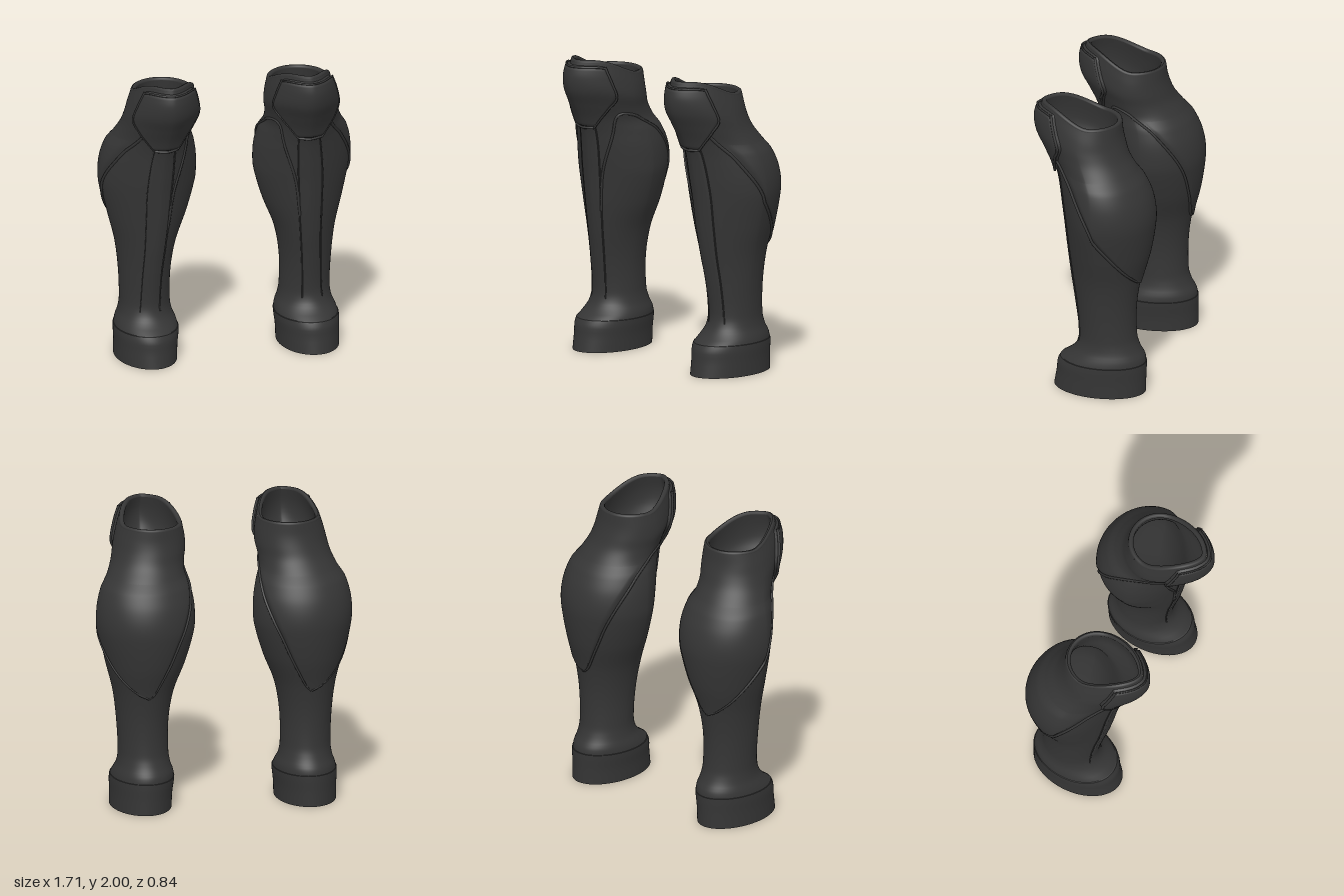
import * as THREE from 'three';
import { mergeVertices } from 'three/addons/utils/BufferGeometryUtils.js';

const RAD = Math.PI / 180;

// Leg sections: height, inner x, outer x, crest x, front z, back z, z of widest point, front sharpness
const SECTIONS = [
  [0.0, 0.355, 0.75, 0.55, 0.255, -0.36, -0.05, 1],
  [0.1, 0.35, 0.75, 0.55, 0.238, -0.36, -0.05, 1],
  [0.2, 0.338, 0.752, 0.55, 0.22, -0.362, -0.06, 1],
  [0.25, 0.345, 0.74, 0.55, 0.155, -0.355, -0.08, 1],
  [0.3, 0.365, 0.72, 0.55, 0.11, -0.325, -0.1, 1],
  [0.38, 0.378, 0.71, 0.545, 0.09, -0.3, -0.1, 1.05],
  [0.6, 0.375, 0.72, 0.535, 0.11, -0.298, -0.09, 1.1],
  [0.8, 0.34, 0.745, 0.52, 0.145, -0.325, -0.09, 1.15],
  [1.0, 0.262, 0.795, 0.51, 0.175, -0.375, -0.09, 1.25],
  [1.2, 0.205, 0.838, 0.505, 0.2, -0.403, -0.09, 1.3],
  [1.3, 0.198, 0.844, 0.5, 0.215, -0.4, -0.09, 1.3],
  [1.4, 0.204, 0.834, 0.495, 0.23, -0.376, -0.08, 1.3],
  [1.5, 0.225, 0.81, 0.49, 0.25, -0.332, -0.06, 1.3],
  [1.6, 0.252, 0.768, 0.485, 0.285, -0.278, -0.02, 1.3],
  [1.7, 0.25, 0.735, 0.48, 0.335, -0.225, 0.02, 1.25],
  [1.8, 0.235, 0.715, 0.475, 0.385, -0.195, 0.05, 1.2],
  [1.9, 0.24, 0.695, 0.475, 0.4, -0.175, 0.05, 1.2],
  [2.0, 0.255, 0.67, 0.47, 0.378, -0.167, 0.05, 1.2],
];

// Smooth interpolation of one table column by its first column
function sample(table, k, col) {
  const n = table.length;
  let i = 0;
  while (i < n - 2 && k > table[i + 1][0]) i++;
  const slope = (j) => {
    const a = table[Math.max(j - 1, 0)], b = table[Math.min(j + 1, n - 1)];
    return (b[col] - a[col]) / (b[0] - a[0]);
  };
  const h = table[i + 1][0] - table[i][0];
  const t = THREE.MathUtils.clamp((k - table[i][0]) / h, 0, 1);
  const t2 = t * t, t3 = t2 * t;
  return (2 * t3 - 3 * t2 + 1) * table[i][col] + (t3 - 2 * t2 + t) * h * slope(i)
    + (3 * t2 - 2 * t3) * table[i + 1][col] + (t3 - t2) * h * slope(i + 1);
}

// Section point: angle 0 is the front, positive angles run to the outer side
function sectionPoint(u, s) {
  const [xi, xo, xf, zf, zb, zw, p] = s;
  const sn = Math.sin(u), c = Math.cos(u), cx = (xi + xo) / 2, hw = (xo - xi) / 2;
  if (c <= 0) return [cx + hw * sn, zw + (zw - zb) * c];
  return [
    cx + (xf - cx) * c * c + hw * Math.sign(sn) * Math.abs(sn) ** p,
    zw + (zf - zw) * c ** p,
  ];
}

// Point on the leg surface, pushed outwards by off; the top slopes up to the front
function surf(u, Y, off = 0) {
  const s = [1, 2, 3, 4, 5, 6, 7].map((c) => sample(SECTIONS, Y, c));
  const [x, z] = sectionPoint(u, s);
  const a = sectionPoint(u - 0.06, s), b = sectionPoint(u + 0.06, s);
  const dx = b[0] - a[0], dz = b[1] - a[1], l = Math.hypot(dx, dz);
  const rim = 1.88 + 0.103 * THREE.MathUtils.smoothstep(z, -0.02, 0.32);
  const y = Y > 1.5 ? 1.5 + (Y - 1.5) * (rim - 1.5) / 0.5 : Y;
  return new THREE.Vector3(x - (dz / l) * off, y, z + (dx / l) * off);
}

// Grid surface from fn(a, b), with a and b from 0 to 1
function grid(fn, na, nb, flip = false) {
  const pos = [], idx = [];
  for (let j = 0; j <= nb; j++)
    for (let i = 0; i <= na; i++) pos.push(...fn(i / na, j / nb).toArray());
  for (let j = 0; j < nb; j++)
    for (let i = 0; i < na; i++) {
      const a = j * (na + 1) + i, b = a + 1, d = a + na + 1, c = d + 1;
      if (flip) idx.push(a, c, b, a, d, c);
      else idx.push(a, b, c, a, c, d);
    }
  const g = new THREE.BufferGeometry();
  g.setAttribute('position', new THREE.Float32BufferAttribute(pos, 3));
  g.setIndex(idx);
  const merged = mergeVertices(g, 1e-5);
  merged.computeVertexNormals();
  return merged;
}

// Bead along a path of [angle in degrees, height] points
function bead(path, radius, off) {
  const guide = new THREE.CatmullRomCurve3(path.map(([d, Y]) => new THREE.Vector3(d / 100, Y, 0)));
  const pts = guide.getPoints(50).map((q) => surf(q.x * 100 * RAD, q.y, off));
  return new THREE.TubeGeometry(new THREE.CatmullRomCurve3(pts), 110, radius, 6);
}

// Mirrored copy for the other leg
function mirror(geometry) {
  const g = geometry.clone().scale(-1, 1, 1), ix = g.index.array;
  for (let i = 0; i < ix.length; i += 3) [ix[i], ix[i + 1]] = [ix[i + 1], ix[i]];
  g.computeVertexNormals();
  return g;
}

export function createModel() {
  const charcoal = new THREE.MeshStandardMaterial({ color: 0x353535 });
  charcoal.name = 'charcoal';
  const model = new THREE.Group();
  model.name = 'shinGuards';
  const left = new THREE.Group(), right = new THREE.Group();
  left.name = 'leftShinGuard';
  right.name = 'rightShinGuard';
  model.add(left, right);
  const add = (name, geometry) => {
    for (const [group, g] of [[left, geometry], [right, mirror(geometry)]]) {
      const mesh = new THREE.Mesh(g, charcoal);
      mesh.name = name;
      group.add(mesh);
    }
  };
  const around = (a) => (a * 2 - 1) * Math.PI;

  // Hollow shell: ankle band, leg, lining and both rims
  add('ankleBand', grid((a, b) => surf(around(a), b * 0.21, 0.004), 72, 8));
  add('ankleBandLip', grid((a, b) => surf(around(a), 0.21 + b * 0.004, 0.004 - b * 0.012), 72, 1));
  add('legShell', grid((a, b) => surf(around(a), 0.2 + b * 1.8), 96, 90));
  add('lining', grid((a, b) => surf(around(a), b * 2, -0.034), 72, 60, true));
  add('bottomRim', grid((a, b) => surf(around(a), 0, 0.004 - b * 0.038), 72, 1, true));
  const rimPts = Array.from({ length: 72 }, (_, i) => surf((i / 72) * 2 * Math.PI, 2, -0.017));
  add('topRim', new THREE.TubeGeometry(new THREE.CatmullRomCurve3(rimPts, true), 144, 0.017, 10, true));

  // Calf panel, bounded by an outer and an inner seam (height, angle)
  const outerSeam = [[0.79, 180], [0.83, 158], [0.92, 131], [1.08, 103], [1.35, 67], [1.5, 52], [1.68, 36]];
  const innerSeam = [[0.79, 180], [0.83, 190], [1.0, 205], [1.2, 218], [1.4, 238], [1.55, 260], [1.68, 285]];
  add('calfPanel', grid((a, b) => {
    const Y = 0.79 + b * 0.89;
    const u = THREE.MathUtils.lerp(sample(outerSeam, Y, 1), sample(innerSeam, Y, 1), a);
    const edge = Math.min(1, Math.min(a, 1 - a) * 20);
    const fade = THREE.MathUtils.smoothstep(1.68 - Y, 0, 0.3);
    return surf(u * RAD, Y, -0.004 + 0.016 * edge * fade);
  }, 60, 50));
  const flipPair = ([Y, d]) => [d, Y];
  add('calfSeamOuter', bead(outerSeam.map(flipPair), 0.01, 0.004));
  add('calfSeamInner', bead([...innerSeam.slice(0, 6).map(flipPair),
    [282, 1.64], [305, 1.63], [323, 1.45], [337, 1.22], [341, 0.95]], 0.009, 0.002));

  // Raised shin ridge with an edge line on each side
  const ridge = [[0.32, -22, 27], [0.6, -22, 26], [1.1, -19, 23], [1.54, -20, 20]];
  add('shinRidge', grid((a, b) => {
    const Y = 0.32 + b * 1.22;
    const u = THREE.MathUtils.lerp(sample(ridge, Y, 1), sample(ridge, Y, 2), a);
    const edge = Math.min(1, Math.min(a, 1 - a) * 12, b * 4);
    return surf(u * RAD, Y, -0.003 + 0.012 * edge);
  }, 24, 40));
  for (const col of [1, 2])
    add('shinLine', bead(ridge.map((r) => [r[col], r[0] + 0.02]), 0.005, 0.001));

  // Kneecap plate standing proud of the shell (height, angle of its edges)
  const kneeEdge = [[1.53, 20], [1.6, 33], [1.68, 48], [1.78, 63], [1.88, 59], [1.985, 51]];
  add('kneecapPlate', grid((a, b) => {
    const Y = 1.53 + b * 0.455;
    const edge = Math.min(1, Math.min(a, 1 - a) * 32, b * 32, (1 - b) * 20);
    return surf((a * 2 - 1) * sample(kneeEdge, Y, 1) * RAD, Y, -0.004 + 0.032 * edge);
  }, 48, 40));
  for (const s of [-1, 1])
    add('kneecapBorder', bead(kneeEdge.map(([Y, d]) => [s * d * 0.95, Y]), 0.009, 0.022));
  add('kneecapLowerBorder', bead([[-19, 1.532], [0, 1.528], [19, 1.532]], 0.009, 0.022));
  add('kneecapUpperBorder', bead([[-48, 1.975], [0, 1.975], [48, 1.975]], 0.007, 0.022));
  return model;
}
